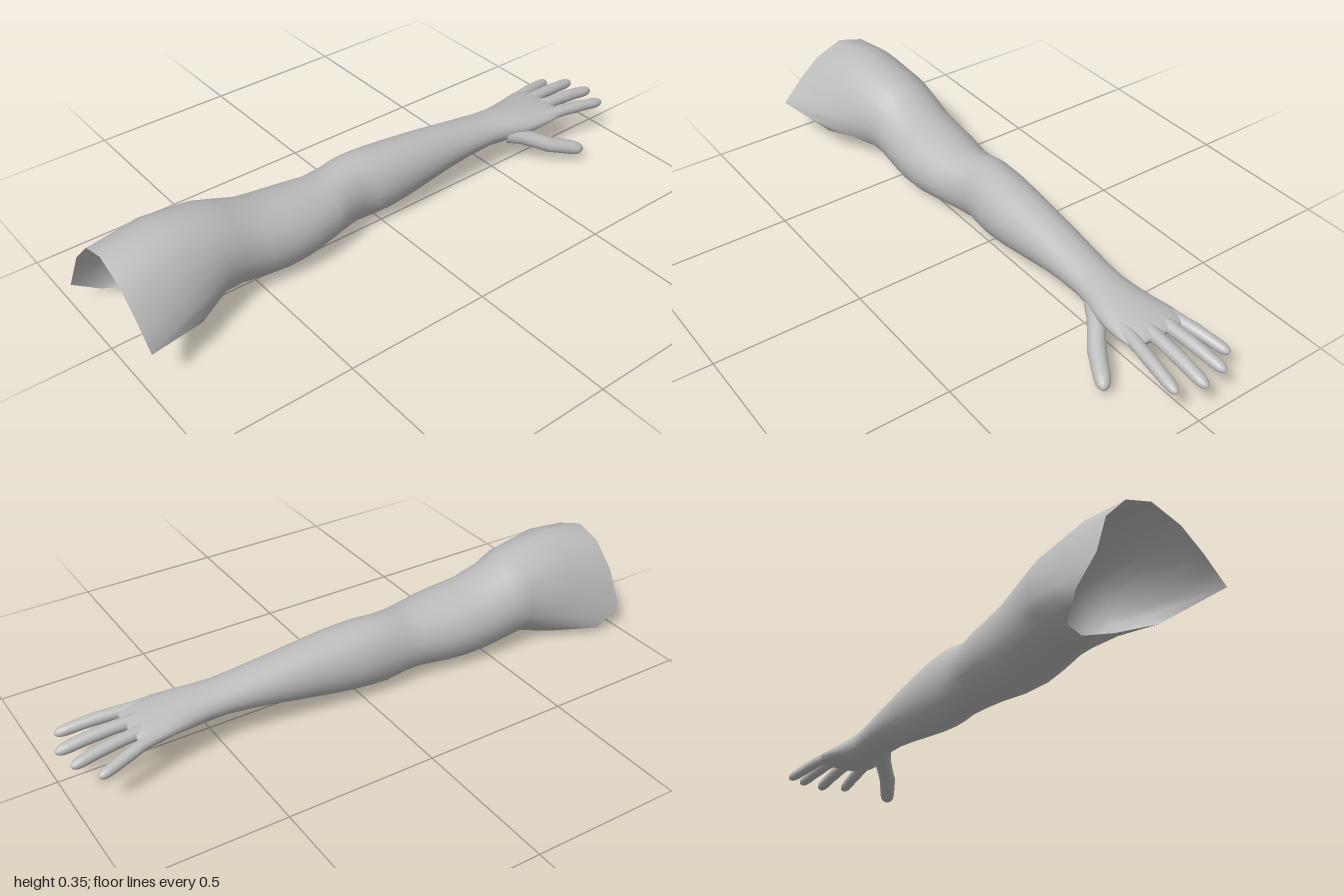
import * as THREE from 'three';

const N = 24; // points around every cross-section

// Smooth skin through a list of rings (each N points, counter-clockwise seen from +z, going to -z)
function loft(rings) {
  const pos = [], index = [];
  for (const ring of rings) for (const p of ring) pos.push(p.x, p.y, p.z);
  for (let i = 0; i < rings.length - 1; i++) {
    for (let j = 0; j < N; j++) {
      const k = (j + 1) % N;
      const a = i * N + j, b = i * N + k, c = a + N, d = b + N;
      index.push(a, c, b, b, c, d);
    }
  }
  const g = new THREE.BufferGeometry();
  g.setAttribute('position', new THREE.Float32BufferAttribute(pos, 3));
  g.setIndex(index);
  g.computeVertexNormals();
  return g;
}

// Oval ring filling the given bounds
function oval([z, x0, x1, y0, y1]) {
  return Array.from({ length: N }, (_, j) => {
    const a = (j / N) * Math.PI * 2;
    return new THREE.Vector3(
      (x0 + x1) / 2 + Math.cos(a) * (x1 - x0) / 2,
      (y0 + y1) / 2 + Math.sin(a) * (y1 - y0) / 2, z);
  });
}

// Rounded finger along a curve
function digit(points, r) {
  const curve = new THREE.CatmullRomCurve3(points.map(p => new THREE.Vector3(...p)));
  const profile = [[0, 1.15], [0.2, 1.05], [0.4, 0.98], [0.55, 1.02], [0.7, 0.95], [0.85, 0.92],
    [0.92, 0.82], [0.96, 0.64], [0.99, 0.34], [1, 0.01]];
  return loft(profile.map(([t, f]) => {
    const c = curve.getPointAt(t), d = curve.getTangentAt(t);
    const side = d.clone().cross(new THREE.Vector3(0, 1, 0)).normalize();
    const up = side.clone().cross(d);
    return Array.from({ length: N }, (_, j) => {
      const a = (j / N) * Math.PI * 2;
      return c.clone().addScaledVector(side, Math.cos(a) * r * f).addScaledVector(up, Math.sin(a) * r * f * 0.95);
    });
  }));
}

export function createModel() {
  const group = new THREE.Group();
  const skin = new THREE.MeshStandardMaterial({ color: 0xbcbcbc, side: THREE.DoubleSide });
  skin.name = 'grey skin';
  const add = (name, geometry) => {
    const m = new THREE.Mesh(geometry, skin);
    m.name = name;
    group.add(m);
  };

  // Open shoulder rim, every 30 degrees, with a notch at the armpit
  const rimPoints = [
    [0.23, 0.14, 0.98], [0.155, 0.22, 0.98], [0.08, 0.285, 0.98], [-0.02, 0.325, 0.98],
    [-0.11, 0.3, 0.98], [-0.185, 0.22, 0.985], [-0.235, 0.09, 1], [-0.235, 0.027, 0.91],
    [-0.15, 0.018, 0.76], [-0.085, 0.01, 0.74], [0.03, 0.05, 0.74], [0.16, 0.097, 0.78],
  ].map(p => new THREE.Vector3(...p));
  const rim = Array.from({ length: N }, (_, j) => {
    const a = rimPoints[j >> 1], b = rimPoints[((j >> 1) + 1) % 12];
    return a.clone().lerp(b, (j % 2) / 2);
  });

  // Arm sections from upper arm to knuckles: z, x min, x max, y min, y max
  const sections = [
    [0.64, -0.19, 0.1, 0.025, 0.325], [0.57, -0.188, 0.085, 0.018, 0.298], [0.48, -0.185, 0.088, 0.008, 0.266],
    [0.4, -0.182, 0.092, 0.004, 0.256], [0.32, -0.177, 0.09, 0.011, 0.246], [0.22, -0.162, 0.07, 0.024, 0.236],
    [0.16, -0.158, 0.05, 0.022, 0.243], [0.1, -0.16, 0.03, 0.015, 0.253], [0.04, -0.161, 0.04, 0.017, 0.254],
    [-0.02, -0.16, 0.046, 0.022, 0.251], [-0.1, -0.153, 0.045, 0.032, 0.245], [-0.2, -0.143, 0.038, 0.049, 0.235],
    [-0.3, -0.133, 0.031, 0.067, 0.222], [-0.4, -0.122, 0.029, 0.083, 0.208], [-0.48, -0.115, 0.03, 0.09, 0.198],
    [-0.54, -0.113, 0.038, 0.087, 0.195], [-0.6, -0.122, 0.055, 0.09, 0.19], [-0.66, -0.134, 0.065, 0.1, 0.183],
    [-0.72, -0.146, 0.068, 0.11, 0.175], [-0.76, -0.147, 0.064, 0.12, 0.167], [-0.78, -0.13, 0.05, 0.13, 0.158],
    [-0.785, -0.05, -0.03, 0.143, 0.145],
  ].map(oval);

  // Shoulder ring halfway to the rim, swelling over the top
  const shoulder = rim.map((p, j) => {
    const q = p.clone().lerp(sections[0][j], 0.5);
    q.y += 0.027 * Math.max(0, Math.sin((j / N) * Math.PI * 2));
    return q;
  });
  add('arm', loft([rim, shoulder, ...sections]));

  // Fingers and thumb
  add('littleFinger', digit([[-0.112, 0.14, -0.68], [-0.133, 0.138, -0.77], [-0.155, 0.125, -0.85], [-0.175, 0.11, -0.93]], 0.02));
  add('ringFinger', digit([[-0.078, 0.145, -0.7], [-0.085, 0.145, -0.79], [-0.093, 0.137, -0.89], [-0.103, 0.122, -0.985]], 0.021));
  add('middleFinger', digit([[-0.026, 0.146, -0.7], [-0.022, 0.147, -0.79], [-0.019, 0.139, -0.9], [-0.017, 0.123, -1]], 0.022));
  add('indexFinger', digit([[0.028, 0.146, -0.68], [0.043, 0.146, -0.77], [0.057, 0.139, -0.87], [0.068, 0.125, -0.97]], 0.021));
  add('thumb', digit([[0.01, 0.125, -0.55], [0.05, 0.108, -0.61], [0.1, 0.08, -0.67], [0.133, 0.062, -0.73], [0.165, 0.045, -0.785]], 0.028));

  return group;
}
